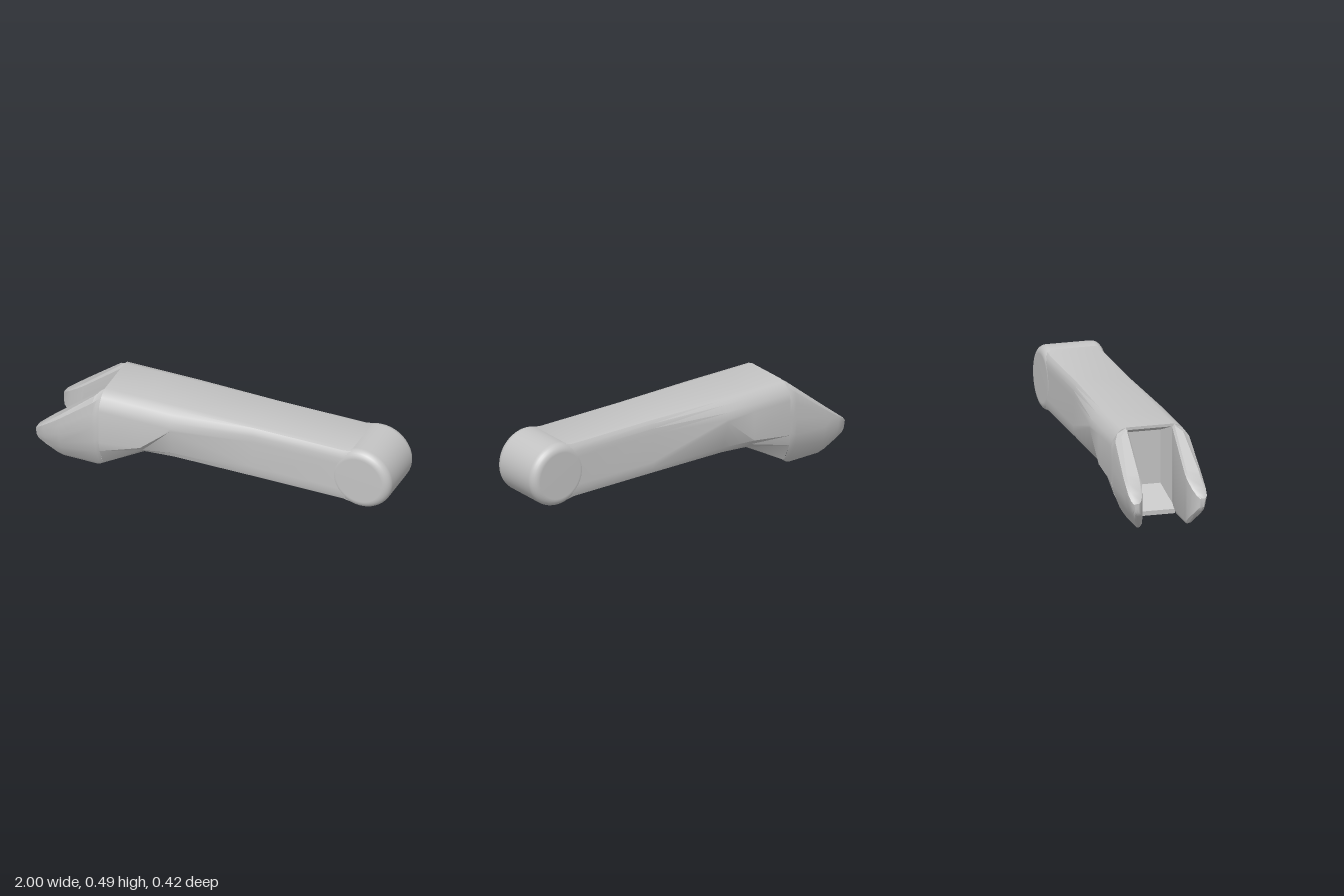
import * as THREE from 'three';
import { toCreasedNormals } from 'three/addons/utils/BufferGeometryUtils.js';

// Skin a list of closed rings running along +x; ends are closed by fans.
function loft(rings, capStart, capEnd) {
  const pos = [];
  const tri = (...pts) => pts.forEach((p) => pos.push(p.x, p.y, p.z));
  const n = rings[0].length;
  for (let i = 0; i < rings.length - 1; i++) {
    for (let j = 0; j < n; j++) {
      const k = (j + 1) % n;
      const a = rings[i][j], b = rings[i][k], c = rings[i + 1][k], d = rings[i + 1][j];
      tri(a, d, c);
      tri(a, c, b);
    }
  }
  const cap = (ring, flip) => {
    const mid = new THREE.Vector3();
    ring.forEach((p) => mid.addScaledVector(p, 1 / n));
    ring.forEach((p, j) => {
      const q = ring[(j + 1) % n];
      if (flip) tri(mid, q, p); else tri(mid, p, q);
    });
  };
  if (capStart) cap(rings[0], false);
  if (capEnd) cap(rings[rings.length - 1], true);
  const g = new THREE.BufferGeometry();
  g.setAttribute('position', new THREE.Float32BufferAttribute(pos, 3));
  return toCreasedNormals(g, 0.55);
}

// Outer half-width of the wide end at a given height
const FLANK = [[0, 0.143], [0.13, 0.198], [0.19, 0.21], [0.385, 0.21], [0.42, 0.202], [0.455, 0.178], [0.484, 0.13]];
function flank(y) {
  for (let i = 1; i < FLANK.length; i++) {
    const [y0, z0] = FLANK[i - 1], [y1, z1] = FLANK[i];
    if (y <= y1) return THREE.MathUtils.lerp(z0, z1, Math.max(0, (y - y0) / (y1 - y0)));
  }
  return 0.13;
}

// Mirror a half section of [z, y] points into a full ring
function fullRing(x, half) {
  const left = half.map(([z, y]) => new THREE.Vector3(x, y, z));
  const right = half.map(([z, y]) => new THREE.Vector3(x, y, -z)).reverse();
  return [...left, ...right];
}

function bodyGeometry() {
  const wideTop = [[0.21, 0.385], [0.202, 0.42], [0.178, 0.455], [0.155, 0.475], [0.125, 0.483]];
  const slimTop = [[0.163, 0.4], [0.162, 0.435], [0.155, 0.46], [0.143, 0.476], [0.122, 0.483]];
  const slim = [[0.125, 0.172], [0.153, 0.182], [0.163, 0.212], [0.163, 0.245], ...slimTop];
  const swell = (grow) => slim.map(([z, y]) => [z, y + grow * Math.sign(y - 0.32)]);
  const end = fullRing(-0.635, [[0.13, 0.028], [0.152, 0.03], [0.198, 0.13], [0.21, 0.19], ...wideTop]);
  const clampRing = (x, z, lo, hi) => end.map((p) => new THREE.Vector3(
    x, THREE.MathUtils.clamp(p.y, lo, hi), THREE.MathUtils.clamp(p.z, -z, z)));
  return loft([
    // recessed pocket in the forked end
    clampRing(-0.52, 0.09, 0.13, 0.42),
    clampRing(-0.635, 0.12, 0.05, 0.468),
    end,
    // wide shoulder, facetted flank, slim beam
    fullRing(-0.4, [[0.125, 0.158], [0.15, 0.166], [0.178, 0.19], [0.21, 0.222], ...wideTop]),
    fullRing(-0.23, [[0.125, 0.17], [0.153, 0.18], [0.166, 0.21], [0.21, 0.37], ...wideTop]),
    fullRing(0.22, slim),
    fullRing(0.73, slim),
    fullRing(0.78, swell(0.009)),
    fullRing(0.83, swell(0.012)),
  ], true, true);
}

// One prong of the fork, side = +1 or -1
function prongGeometry(side) {
  // x, bottom, top, inner face, outer inset
  const stations = [
    [-1, 0.128, 0.178, 0.165, 0.014],
    [-0.988, 0.106, 0.194, 0.15, 0.005],
    [-0.95, 0.068, 0.224, 0.135, 0],
    [-0.9, 0.022, 0.264, 0.123, 0],
    [-0.865, 0.006, 0.292, 0.12, 0],
    [-0.675, 0.004, 0.449, 0.12, 0],
    [-0.655, 0.012, 0.467, 0.12, 0],
    [-0.635, 0.028, 0.481, 0.12, 0],
  ];
  const rings = stations.map(([x, yb, yt, zi, inset]) => {
    const h = yt - yb;
    const zin = zi + 0.01;
    const outer = [0.06, 0.25, 0.4, 0.6, 0.8, 0.94].map((t) => [flank(yb + h * t) - inset, yb + h * t]);
    const pts = [
      [zi, yb + h * 0.06], [zin, yb],
      [Math.max(zin, flank(yb) - inset - 0.008), yb],
      ...outer,
      [Math.max(zin, flank(yt) - inset - 0.015), yt],
      [zin, yt], [zi, yt - h * 0.04],
    ].map(([z, y]) => new THREE.Vector3(x, y, z * side));
    return side > 0 ? pts : pts.reverse();
  });
  return loft(rings, true, false);
}

// Round head, turned about the z axis with softened rims
function headGeometry() {
  const R = 0.174, W = 0.165, B = 0.045;
  const profile = [new THREE.Vector2(0, -W)];
  for (const s of [-1, 1]) {
    for (let i = 0; i <= 6; i++) {
      const a = (s < 0 ? i : 6 - i) / 6 * Math.PI / 2;
      profile.push(new THREE.Vector2(R - B + B * Math.sin(a), s * (W - B + B * Math.cos(a))));
    }
  }
  profile.push(new THREE.Vector2(0, W));
  return new THREE.LatheGeometry(profile, 48).rotateX(Math.PI / 2).translate(0.826, 0.325, 0);
}

// Sloped web closing the underside between the prongs
function webGeometry() {
  const s = new THREE.Shape([[-0.672, 0.006], [-0.635, 0.027], [-0.6, 0.048], [-0.6, 0.075], [-0.672, 0.03]]
    .map(([x, y]) => new THREE.Vector2(x, y)));
  return new THREE.ExtrudeGeometry(s, { depth: 0.25, bevelEnabled: false }).translate(0, 0, -0.125);
}

export function createModel() {
  const group = new THREE.Group();
  group.name = 'forkedArm';
  const grey = new THREE.MeshStandardMaterial({ color: 0xc4c4c4 });
  grey.name = 'light grey';
  const add = (name, geometry) => {
    const mesh = new THREE.Mesh(geometry, grey);
    mesh.name = name;
    group.add(mesh);
  };
  add('beam', bodyGeometry());
  add('roundHead', headGeometry());
  add('leftProng', prongGeometry(1));
  add('rightProng', prongGeometry(-1));
  add('web', webGeometry());
  return group;
}
